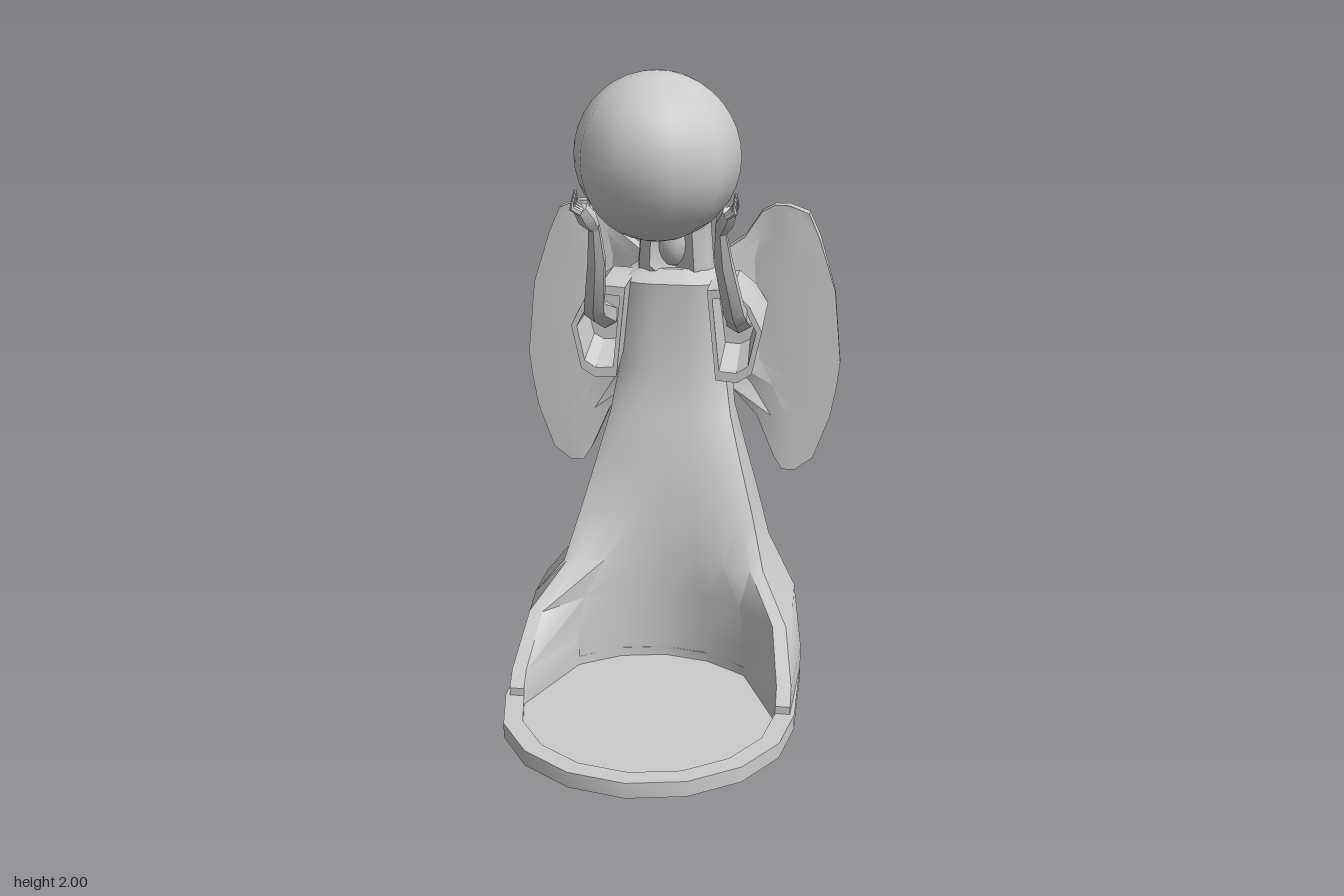
import * as THREE from 'three';
import { mergeGeometries, toCreasedNormals } from 'three/addons/utils/BufferGeometryUtils.js';

const material = new THREE.MeshStandardMaterial({ color: 0xcccccc, side: THREE.DoubleSide });

// Skins a stack of equal-length rings of [x, y, z]; turns the faces outwards by signed volume.
function loft(rings, { capStart = true, capEnd = true, crease = 0.6 } = {}) {
  const n = rings[0].length, pos = rings.flat(2), index = [];
  const c = new THREE.Vector3();
  rings.flat().forEach(p => c.add(new THREE.Vector3(...p)));
  c.divideScalar(n * rings.length);
  for (let r = 0; r < rings.length - 1; r++) {
    for (let i = 0; i < n; i++) {
      const a = r * n + i, b = r * n + (i + 1) % n;
      index.push(a, b, a + n, b, b + n, a + n);
    }
  }
  const cap = (r, flip) => {
    const m = [0, 1, 2].map(k => rings[r].reduce((s, p) => s + p[k], 0) / n);
    const id = pos.length / 3;
    pos.push(...m);
    for (let i = 0; i < n; i++) {
      const a = r * n + i, b = r * n + (i + 1) % n;
      index.push(...(flip ? [id, b, a] : [id, a, b]));
    }
  };
  if (capStart) cap(0, true);
  if (capEnd) cap(rings.length - 1, false);
  const v = i => new THREE.Vector3().fromArray(pos, i * 3).sub(c);
  let volume = 0;
  for (let i = 0; i < index.length; i += 3) volume += v(index[i]).dot(v(index[i + 1]).cross(v(index[i + 2])));
  if (volume < 0) index.reverse();
  const g = new THREE.BufferGeometry();
  g.setAttribute('position', new THREE.Float32BufferAttribute(pos, 3));
  g.setIndex(index);
  return toCreasedNormals(g, crease);
}

// Linear interpolation through [key, value] pairs.
function sample(table, x) {
  if (x <= table[0][0]) return table[0][1];
  for (let i = 1; i < table.length; i++) {
    const [x0, a] = table[i - 1], [x1, b] = table[i];
    if (x <= x1) return a + (b - a) * (x - x0) / (x1 - x0);
  }
  return table[table.length - 1][1];
}

const R = 0.46, DISH = 0.4, ZF = 0.24, ZB = -0.09;

// Stadium plinth with a shallow round dish at the front.
function plinthGeometry() {
  const outline = [];
  for (let i = 0; i <= 8; i++) outline.push(new THREE.Vector2(R * Math.cos(i * Math.PI / 8), -ZB + R * Math.sin(i * Math.PI / 8)));
  for (let i = 8; i <= 16; i++) outline.push(new THREE.Vector2(R * Math.cos(i * Math.PI / 8), -ZF + R * Math.sin(i * Math.PI / 8)));
  const floor = new THREE.Shape(outline), rim = new THREE.Shape(outline), hole = [];
  for (let i = 0; i < 16; i++) hole.push(new THREE.Vector2(DISH * Math.cos(i * Math.PI / 8), -ZF - DISH * Math.sin(i * Math.PI / 8)));
  rim.holes.push(new THREE.Path(hole));
  const slab = (s, depth, y) => new THREE.ExtrudeGeometry(s, { depth, bevelEnabled: false }).rotateX(-Math.PI / 2).translate(0, y, 0);
  return toCreasedNormals(mergeGeometries([slab(floor, 0.02, 0), slab(rim, 0.03, 0.02)]), 0.5);
}

// Gown: the plinth outline rising and narrowing, its front hollowed by the dish.
function gownGeometry() {
  const rows = [ // y, half width, front z, front roundness
    [0.02, 0.46, 0.24, 0], [0.075, 0.46, 0.24, 0], [0.12, 0.46, 0.2, 0], [0.26, 0.43, 0.06, 0],
    [0.38, 0.33, -0.09, 0], [0.54, 0.285, -0.165, 0.01], [0.7, 0.24, -0.19, 0.03],
    [0.85, 0.2, -0.225, 0.04], [1.0, 0.175, -0.26, 0.05], [1.29, 0.165, -0.25, 0.05], [1.33, 0.1, -0.3, 0.04]];
  const us = [0.97, 0.87, 0.6, 0.3, 0, -0.3, -0.6, -0.87, -0.97];
  return loft(rows.map(([y, w, zf, bulge]) => {
    const ring = us.map(u => {
      const x = u * w, hollow = ZF - Math.sqrt(Math.max(0, DISH * DISH - x * x));
      return [x, y, Math.min(zf - bulge * u ** 4, hollow)];
    });
    for (let i = 8; i >= 0; i--) {
      const a = i * Math.PI / 8, bx = R * Math.cos(a);
      ring.push([Math.max(-w, Math.min(w, bx)), y, Math.min(ZB - R * Math.sin(a), zf - bulge)]);
    }
    return ring;
  }), { capStart: false });
}

// Hood and veil, with a recess for the face.
function hoodGeometry() {
  const rows = [ // y, half width, front z, back z, recess
    [0.8, 0.1, -0.4, -0.548, 0], [1.05, 0.12, -0.38, -0.555, 0], [1.28, 0.13, -0.3, -0.535, 0],
    [1.34, 0.125, -0.28, -0.53, 0.05], [1.46, 0.115, -0.27, -0.545, 0.05], [1.51, 0.12, -0.23, -0.548, 0],
    [1.57, 0.11, -0.29, -0.53, 0], [1.61, 0.08, -0.34, -0.505, 0], [1.632, 0.03, -0.37, -0.43, 0]];
  return loft(rows.map(([y, w, zf, zb, recess]) => Array.from({ length: 12 }, (_, i) => {
    const a = i * Math.PI / 6, s = Math.sin(a), k = Math.cos(a);
    const z = (zf + zb) / 2 + (zf - zb) / 2 * Math.sign(k) * Math.abs(k) ** 0.7;
    return [w * Math.sign(s) * Math.abs(s) ** 0.8, y, i === 0 ? z - recess : z];
  })));
}

// Wing: horizontal slices bent backwards from the root, thinning at tip and edges.
function wingGeometry(side) {
  const back = [[0.07, -0.57], [0.2, -0.66], [0.35, -0.7], [0.47, -0.67], [0.545, -0.61]];
  const front = [[0.07, -0.5], [0.13, -0.54], [0.24, -0.595], [0.36, -0.578], [0.545, -0.59]];
  const rows = [ // y, inner x, outer x, thickness
    [0.555, 0.355, 0.4, 0.65], [0.6, 0.325, 0.46, 0.85], [0.75, 0.26, 0.515, 0.9], [0.86, 0.17, 0.535, 0.97],
    [0.95, 0.08, 0.545, 1], [1.2, 0.07, 0.52, 0.8], [1.3, 0.08, 0.488, 0.85], [1.38, 0.21, 0.462, 0.9],
    [1.465, 0.265, 0.425, 0.6], [1.492, 0.31, 0.36, 0.4]];
  const s = [0, 0.2, 0.4, 0.6, 0.8, 1];
  return loft(rows.map(([y, xi, xo, t]) => {
    const xs = s.map(k => xi + (xo - xi) * k);
    const f = xs.map(x => [side * x, y, sample(front, x)]);
    const b = xs.map(x => [side * x, y, sample(front, x) + (sample(back, x) - sample(front, x)) * t]);
    return [...f, ...b.reverse()];
  }), { crease: 0.5 });
}

// Wide sleeve, open and hollow at the front.
function sleeveGeometry(side) {
  const opening = [[0.16, 1.005], [0.23, 1.0], [0.275, 1.03], [0.305, 1.17], [0.265, 1.25], [0.21, 1.305], [0.13, 1.3]];
  const slice = (z, lift, inset) => opening.map(([x, y]) => [
    side * (x + (0.215 - x) * inset), y + (1.31 - y) * lift + (1.16 - y) * inset, z]);
  return loft([slice(-0.46, 0.25, 0.12), slice(-0.42, 0.2, 0), slice(-0.28, 0.13, 0), slice(-0.155, 0, 0),
    slice(-0.155, 0, 0.2), slice(-0.3, 0.13, 0.3)], { crease: 0.5 });
}

// Tapered six-sided limb through [x, y, z, radius] points.
function limb(points, side) {
  const p = points.map(q => new THREE.Vector3(side * q[0], q[1], q[2]));
  return loft(p.map((c, i) => {
    const d = p[Math.min(i + 1, p.length - 1)].clone().sub(p[Math.max(i - 1, 0)]).normalize();
    const u = new THREE.Vector3(1, 0, 0).cross(d).normalize(), v = d.clone().cross(u);
    return Array.from({ length: 6 }, (_, k) => c.clone()
      .addScaledVector(u, points[i][3] * Math.cos(k * Math.PI / 3))
      .addScaledVector(v, points[i][3] * Math.sin(k * Math.PI / 3)).toArray());
  }));
}

function handGeometry(side) {
  const parts = [limb([[0.19, 1.53, 0.04, 0.018], [0.205, 1.565, 0.07, 0.03], [0.222, 1.6, 0.09, 0.024]], side)];
  for (let i = 0; i < 4; i++) { // fingers
    const z = 0.068 + i * 0.017;
    parts.push(limb([[0.215, 1.59, z, 0.011], [0.24, 1.618 - i * 0.004, z + 0.008, 0.01], [0.238, 1.652 - i * 0.009, z + 0.014, 0.005]], side));
  }
  parts.push(limb([[0.2, 1.56, 0.055, 0.012], [0.2, 1.6, 0.04, 0.01], [0.205, 1.63, 0.045, 0.005]], side)); // thumb
  return mergeGeometries(parts);
}

export function createModel() {
  const model = new THREE.Group();
  model.name = 'wingedStatue';
  const add = (name, geometry) => {
    const mesh = new THREE.Mesh(geometry, material);
    mesh.name = name;
    model.add(mesh);
    return mesh;
  };
  add('plinth', plinthGeometry());
  add('gown', gownGeometry());
  add('hood', hoodGeometry());
  const face = add('face', new THREE.SphereGeometry(1, 10, 8));
  face.scale.set(0.055, 0.085, 0.05);
  face.position.set(0, 1.42, -0.33);
  const ball = add('ball', new THREE.SphereGeometry(0.25, 10, 18));
  ball.position.set(0, 1.75, 0.04);
  for (const [label, side] of [['left', 1], ['right', -1]]) {
    add(label + 'Wing', wingGeometry(side));
    add(label + 'Sleeve', sleeveGeometry(side));
    add(label + 'Forearm', limb([[0.22, 1.17, -0.3, 0.045], [0.225, 1.225, -0.15, 0.038], [0.22, 1.25, -0.11, 0.036],
      [0.195, 1.42, -0.02, 0.03], [0.19, 1.54, 0.045, 0.018]], side));
    add(label + 'Hand', handGeometry(side));
  }
  return model;
}
